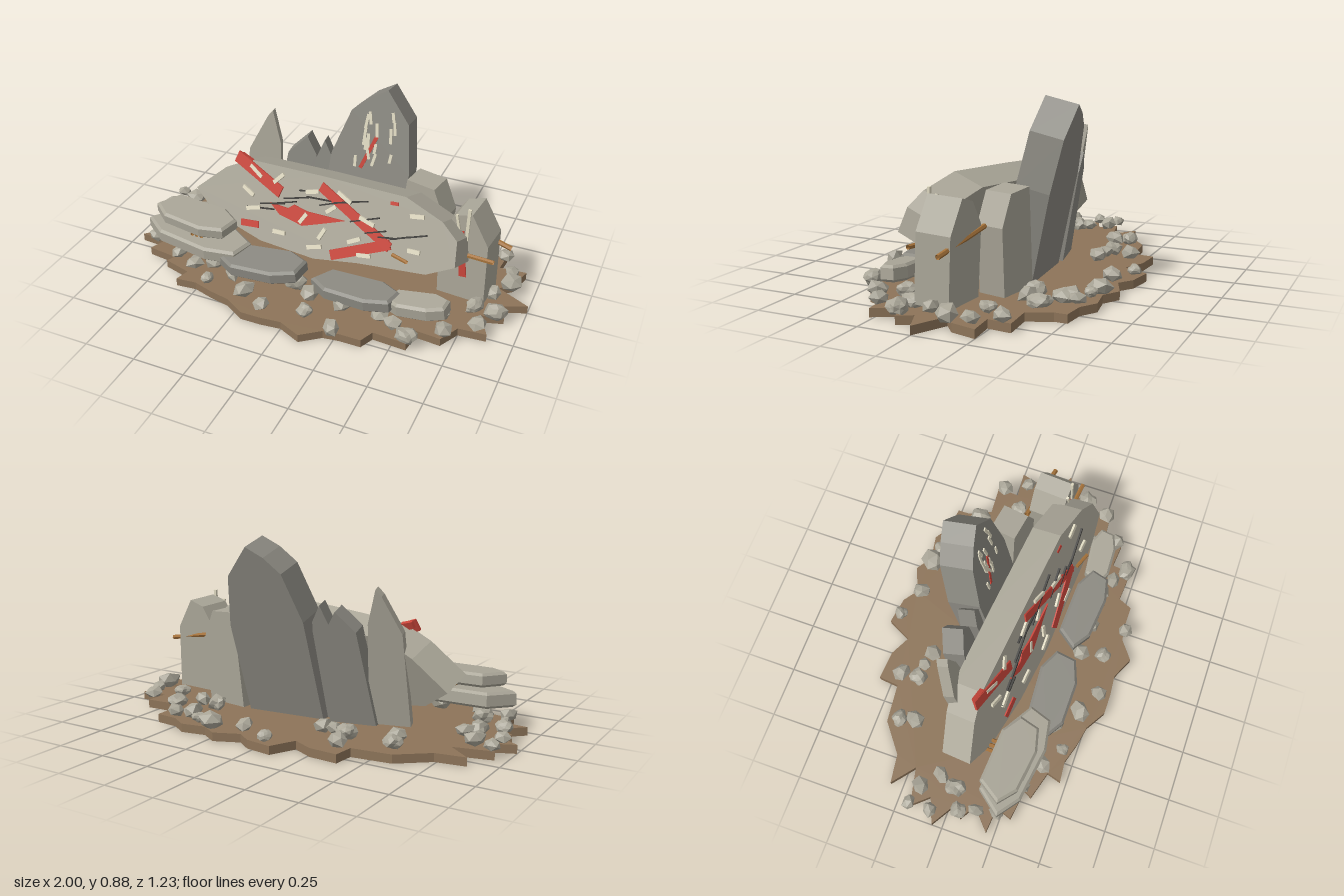
import * as THREE from 'three';

const material = (color) => new THREE.MeshStandardMaterial({ color, flatShading: true, side: THREE.DoubleSide });
const stone = material(0xaaa698), darkStone = material(0x8b8981), soil = material(0x8d7459);
const red = material(0xc8453a), cream = material(0xded8c0), black = material(0x3a3936), wood = material(0xa5723a);

let seed = 7;
const random = () => (seed = (seed * 16807) % 2147483647) / 2147483647;
const between = (lo, hi) => lo + (hi - lo) * random();

const toShape = (pts) => new THREE.Shape(pts.map(([x, y]) => new THREE.Vector2(x, y)));

export function createModel() {
  const root = new THREE.Group();

  const add = (name, geometry, mat, parent = root) => {
    const mesh = new THREE.Mesh(geometry, mat);
    mesh.name = name;
    parent.add(mesh);
    return mesh;
  };

  // Extrudes an x-y outline whose front lies on the plane z = z0 + a*x + b*y
  const onPlane = (pts, { z0, a, b }, back, front = 0) => {
    const n = new THREE.Vector3(-a, -b, 1).normalize();
    const geometry = new THREE.ExtrudeGeometry(toShape(pts), { depth: back + front, bevelEnabled: false });
    geometry.translate(0, 0, -back);
    return geometry.applyMatrix4(new THREE.Matrix4().set(
      1, 0, n.x, 0,
      0, 1, n.y, 0,
      a, b, n.z, z0,
      0, 0, 0, 1));
  };

  // Painted strip between two points of a slab's face
  const strip = (name, plane, [x1, y1], [x2, y2], width, mat, lift = 0.004) => {
    const len = Math.hypot(x2 - x1, y2 - y1);
    const u = -(y2 - y1) / len * width / 2, v = (x2 - x1) / len * width / 2;
    const pts = [[x1 - u, y1 - v], [x2 - u, y2 - v], [x2 + u, y2 + v], [x1 + u, y1 + v]];
    add(name, onPlane(pts, plane, 0.004, lift), mat);
  };

  // Jagged earth base
  const edge = [
    [-0.1, -0.62], [0.03, -0.6], [0.1, -0.55], [0.22, -0.6], [0.3, -0.55], [0.42, -0.57], [0.5, -0.52],
    [0.61, -0.51], [0.61, -0.45], [0.66, -0.34], [0.81, -0.35], [0.8, -0.24], [0.93, -0.25], [0.9, -0.13],
    [0.84, -0.08], [1, 0], [0.88, 0.05], [0.92, 0.12], [0.82, 0.15], [0.88, 0.27], [0.75, 0.28],
    [0.7, 0.38], [0.58, 0.37], [0.57, 0.47], [0.41, 0.46], [0.38, 0.53], [0.28, 0.53], [0.2, 0.54],
    [0.11, 0.61], [0, 0.56], [-0.1, 0.57], [-0.2, 0.57], [-0.3, 0.51], [-0.4, 0.49], [-0.5, 0.46],
    [-0.6, 0.47], [-0.58, 0.4], [-0.72, 0.36], [-0.7, 0.32], [-0.85, 0.3], [-0.82, 0.22], [-0.95, 0.21],
    [-0.85, 0.12], [-0.93, 0.07], [-0.87, 0.03], [-1, -0.05], [-0.88, -0.1], [-0.95, -0.18], [-0.77, -0.22],
    [-0.88, -0.31], [-0.74, -0.33], [-0.6, -0.44], [-0.41, -0.46], [-0.4, -0.56], [-0.26, -0.55], [-0.16, -0.5],
  ];
  const ground = new THREE.ExtrudeGeometry(toShape(edge.map(([x, z]) => [x, -z])), { depth: 0.04, bevelEnabled: false });
  add('groundBase', ground.rotateX(-Math.PI / 2), soil);

  // Large leaning wall slab
  const wall = { z0: 0.26, a: 0.14, b: -0.38 };
  add('mainSlab', onPlane([
    [-0.71, 0.29], [-0.58, 0.2], [-0.3, 0.15], [0, 0.155], [0.23, 0.205], [0.57, 0.26], [0.7, 0.33],
    [0.69, 0.44], [0.61, 0.5], [0.42, 0.555], [-0.02, 0.53], [-0.42, 0.5], [-0.55, 0.43],
  ], wall, 0.16), stone);

  // Standing slabs and shards behind it
  const tall = { z0: -0.01, a: -0.08, b: -0.23 };
  add('tallSlab', onPlane([
    [-0.09, 0.05], [0.3, 0.05], [0.34, 0.5], [0.31, 0.74], [0.195, 0.885], [0.11, 0.84], [0.03, 0.77], [-0.05, 0.55],
  ], tall, 0.16), darkStone);
  add('leftShard', onPlane([
    [-0.49, 0.05], [-0.3, 0.05], [-0.33, 0.53], [-0.375, 0.69], [-0.4, 0.66], [-0.48, 0.49],
  ], { z0: -0.14, a: -0.25, b: -0.17 }, 0.05), stone);
  add('middleShard', onPlane([
    [-0.34, 0.05], [-0.12, 0.05], [-0.14, 0.5], [-0.19, 0.59], [-0.28, 0.5],
  ], { z0: -0.1, a: -0.2, b: -0.17 }, 0.1), darkStone);
  add('innerShard', onPlane([
    [-0.14, 0.05], [-0.02, 0.05], [-0.05, 0.52], [-0.09, 0.6], [-0.13, 0.5],
  ], { z0: -0.06, a: -0.2, b: -0.17 }, 0.08), darkStone);
  add('rearBlock', onPlane([
    [0.3, 0.05], [0.52, 0.05], [0.55, 0.36], [0.49, 0.5], [0.35, 0.51],
  ], { z0: -0.14, a: 0.15, b: -0.03 }, 0.13), stone);
  const side = { z0: 0.03, a: 0.08, b: -0.03 };
  add('sideBlock', onPlane([
    [0.58, 0.06], [0.81, 0.06], [0.805, 0.37], [0.72, 0.515], [0.64, 0.49], [0.57, 0.38],
  ], side, 0.17), stone);

  // Broken red markings
  strip('redMark', wall, [-0.49, 0.5], [-0.22, 0.4], 0.055, red, 0.008);
  strip('redMark', wall, [-0.01, 0.485], [0.38, 0.32], 0.045, red, 0.008);
  strip('redMark', wall, [0.38, 0.335], [0.09, 0.2], 0.045, red, 0.007);
  strip('redMark', wall, [-0.42, 0.205], [-0.32, 0.22], 0.03, red, 0.007);
  strip('redMark', wall, [0.35, 0.51], [0.39, 0.515], 0.015, red);
  add('redPatch', onPlane([
    [-0.27, 0.34], [-0.21, 0.3], [-0.08, 0.285], [0.0, 0.315], [0.14, 0.37], [-0.06, 0.355], [-0.14, 0.365], [-0.17, 0.34],
  ], wall, 0.004, 0.008), red);
  add('redPatch', onPlane([[-0.48, 0.49], [-0.42, 0.47], [-0.4, 0.5], [-0.47, 0.52]], wall, 0.02, 0.004), red);
  strip('redMark', tall, [0.1, 0.5], [0.165, 0.66], 0.018, red);
  strip('redMark', side, [0.67, 0.42], [0.7, 0.18], 0.035, red);

  // Pale and dark scratches: [x, y, length, angle]
  const pale = [
    [-0.37, 0.46, 0.08, -0.5], [-0.24, 0.46, 0.07, 0.8], [-0.05, 0.45, 0.07, 0.3], [0.12, 0.47, 0.08, -0.4],
    [0.25, 0.4, 0.08, -0.2], [0.49, 0.49, 0.07, 0.2], [0.5, 0.34, 0.06, 0.1], [0.2, 0.3, 0.07, 0.5],
    [0.03, 0.28, 0.06, 1.1], [0, 0.21, 0.08, 0.3], [-0.2, 0.22, 0.07, 0.1], [-0.36, 0.29, 0.08, 0.3],
    [-0.4, 0.36, 0.07, -0.4], [0.06, 0.4, 0.06, 0.7], [0.26, 0.25, 0.07, 0.2], [-0.08, 0.32, 0.06, 1],
  ];
  const cut = (name, plane, [x, y, len, angle], width, mat, lift) => {
    const dx = Math.cos(angle) * len / 2, dy = Math.sin(angle) * len / 2;
    strip(name, plane, [x - dx, y - dy], [x + dx, y + dy], width, mat, lift);
  };
  pale.forEach((s) => cut('paleScratch', wall, s, 0.018, cream, 0.011));
  for (let i = 0; i < 14; i++) {
    const s = [-0.32 + i * 0.062, between(0.3, 0.48), between(0.08, 0.16), between(0.1, 0.4)];
    cut('darkScratch', wall, s, 0.006, black, 0.01);
  }
  for (let i = 0; i < 14; i++) {
    const s = [between(0.06, 0.26), 0.53 + i * 0.018, between(0.04, 0.09), between(1.2, 1.9)];
    cut('paleScratch', tall, s, 0.014, cream, 0.006);
  }
  cut('paleSplinter', side, [0.705, 0.46, 0.16, 1.55], 0.015, cream, 0.008);
  cut('paleSplinter', side, [0.66, 0.45, 0.1, 1.8], 0.012, cream, 0.008);

  // Fallen chunks at the front: centre, size, tilt
  const chunk = (name, [x, y, z], [w, h, d], yaw, roll, mat) => {
    const bevel = 0.012;
    const outline = [[-0.5, -0.12], [-0.3, -0.44], [0.2, -0.5], [0.46, -0.3], [0.5, 0.2], [0.28, 0.48], [-0.36, 0.46]];
    const geometry = new THREE.ExtrudeGeometry(
      toShape(outline.map(([u, v]) => [u * (w - 2 * bevel), v * (d - 2 * bevel)])),
      { depth: h - 2 * bevel, bevelSize: bevel, bevelThickness: bevel, bevelSegments: 1 });
    const mesh = add(name, geometry.translate(0, 0, bevel - h / 2).rotateX(-Math.PI / 2), mat);
    mesh.position.set(x, y, z);
    mesh.rotation.set(0.06, yaw, roll);
  };
  chunk('upperLeftChunk', [-0.62, 0.24, 0.22], [0.42, 0.065, 0.2], -0.08, -0.03, stone);
  chunk('lowerLeftChunk', [-0.6, 0.145, 0.24], [0.55, 0.075, 0.22], -0.1, -0.03, stone);
  chunk('frontChunk', [-0.22, 0.125, 0.3], [0.43, 0.07, 0.2], 0.05, 0.07, darkStone);
  chunk('frontChunk', [0.26, 0.12, 0.31], [0.42, 0.07, 0.17], -0.05, 0.05, darkStone);
  chunk('rightChunk', [0.56, 0.125, 0.3], [0.29, 0.075, 0.13], 0.1, 0.08, stone);

  // Broken rods
  const rod = (from, to, radius = 0.009) => {
    const curve = new THREE.LineCurve3(new THREE.Vector3(...from), new THREE.Vector3(...to));
    add('brokenRod', new THREE.TubeGeometry(curve, 1, radius, 6), wood);
  };
  rod([0.56, 0.36, -0.11], [0.88, 0.295, -0.06], 0.012);
  rod([0.6, 0.3, 0.07], [0.84, 0.31, 0.1], 0.011);
  rod([0.4, 0.3, 0.21], [0.48, 0.3, 0.24]);
  for (let i = 0; i < 3; i++) rod([-0.6 + i * 0.025, 0.21, 0.08], [-0.6 + i * 0.025, 0.19, 0.3]);

  // Rubble ring: [x, z]
  const spots = [
    [-0.05, -0.58], [0.1, -0.52], [0.28, -0.53], [0.36, -0.52], [0.44, -0.46], [0.5, -0.51], [0.6, -0.38],
    [0.81, -0.31], [0.87, -0.2], [0.72, -0.2], [0.89, -0.1], [0.83, 0], [0.88, 0.13], [0.83, 0.25], [0.7, 0.34],
    [0.56, 0.45], [0.48, 0.4], [0.24, 0.54], [0.08, 0.47], [-0.12, 0.51], [-0.24, 0.45], [-0.45, 0.43],
    [-0.56, 0.36], [-0.85, 0.23], [-0.9, 0.05], [-0.94, -0.08], [-0.94, -0.19], [-0.8, 0], [-0.77, -0.08],
    [-0.85, -0.16], [-0.57, -0.38], [-0.55, -0.31], [-0.34, -0.46], [-0.34, -0.37], [-0.27, -0.36], [-0.2, -0.34],
    [0.43, -0.29], [0.52, -0.29], [0.46, -0.43], [0.66, 0.22], [0.4, 0.35], [0.05, 0.36], [-0.05, 0.3],
    [-0.35, 0.36], [-0.68, 0.3], [-0.75, 0.17], [0.22, 0.36], [-0.48, 0.3], [0.78, 0.12], [-0.87, 0.13],
  ];
  const rubble = new THREE.Group();
  rubble.name = 'rubble';
  root.add(rubble);
  spots.forEach(([x, z], i) => {
    const geometry = new THREE.IcosahedronGeometry(between(0.038, 0.056), i % 3 ? 0 : 1);
    const p = geometry.attributes.position;
    for (let k = 0; k < p.count; k++) {
      const s = 1 + 0.16 * Math.sin(p.getX(k) * 70 + p.getY(k) * 50 + p.getZ(k) * 90 + i);
      p.setXYZ(k, p.getX(k) * s, p.getY(k) * s, p.getZ(k) * s);
    }
    geometry.computeVertexNormals();
    const rock = add('rock', geometry, stone, rubble);
    rock.scale.set(between(0.7, 1.0), between(0.6, 0.8), between(0.8, 1.15));
    rock.rotation.y = between(0, Math.PI);
    rock.position.set(x, between(0.065, 0.08), z);
  });
  return root;
}
